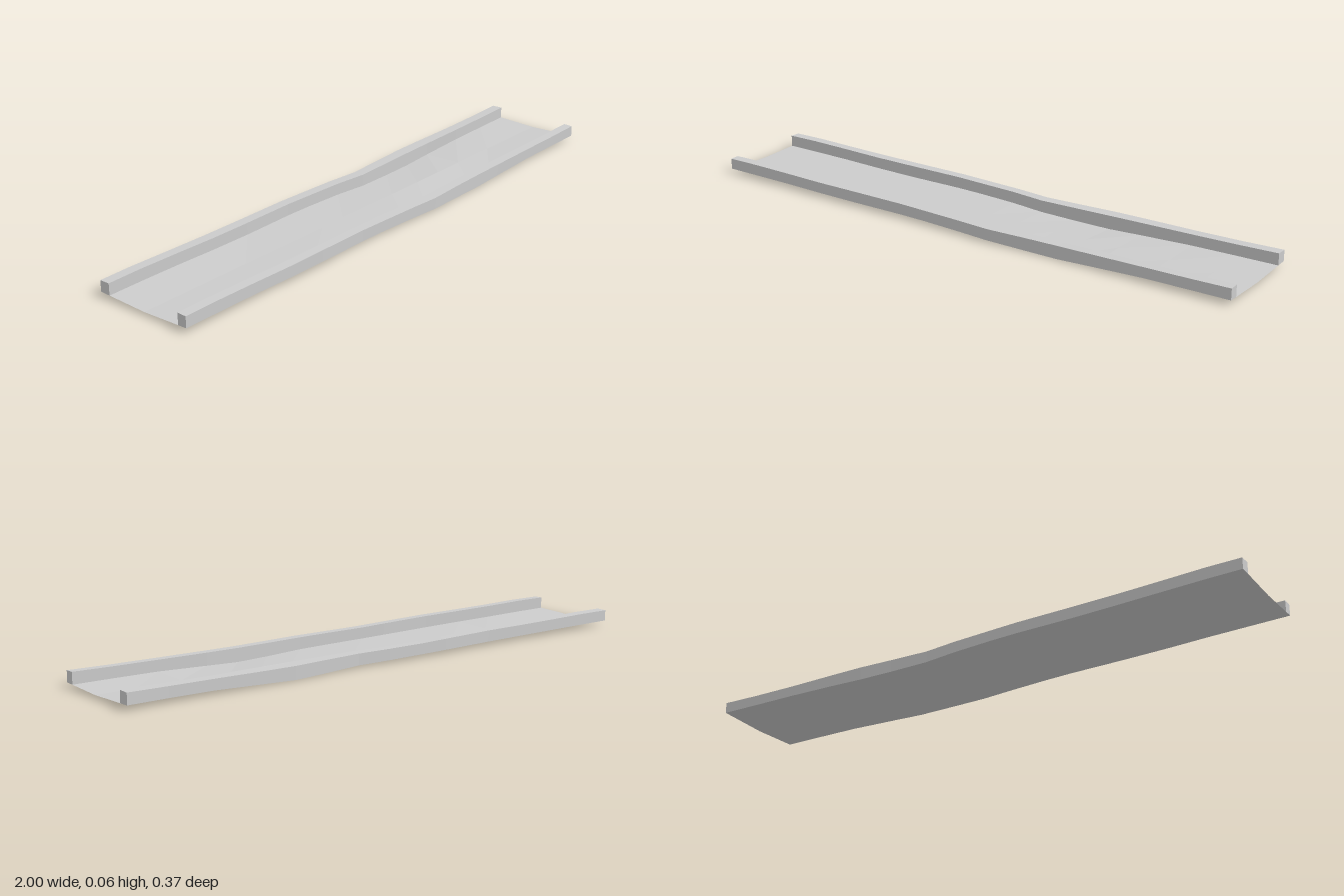
import * as THREE from 'three';

// One row per station along the length:
// x, front inner z, front outer z, back inner z, back outer z, floor edge y, kerb top y
const stations = [
  [-1.00, 0.140, 0.173, -0.150, -0.187, 0.017, 0.057],
  [-0.88, 0.140, 0.174, -0.150, -0.187, 0.017, 0.058],
  [-0.72, 0.140, 0.174, -0.149, -0.185, 0.016, 0.056],
  [-0.58, 0.143, 0.177, -0.145, -0.183, 0.015, 0.055],
  [-0.42, 0.143, 0.177, -0.144, -0.182, 0.014, 0.055],
  [-0.22, 0.140, 0.174, -0.149, -0.186, 0.013, 0.053],
  [-0.12, 0.140, 0.175, -0.148, -0.185, 0.012, 0.051],
  [0.02, 0.146, 0.180, -0.143, -0.180, 0.010, 0.050],
  [0.14, 0.149, 0.186, -0.131, -0.170, 0.008, 0.049],
  [0.28, 0.143, 0.179, -0.136, -0.178, 0.004, 0.049],
  [0.40, 0.140, 0.175, -0.141, -0.186, 0.002, 0.049],
  [0.52, 0.139, 0.174, -0.143, -0.186, 0.007, 0.050],
  [0.70, 0.140, 0.173, -0.144, -0.183, 0.014, 0.052],
  [0.86, 0.140, 0.173, -0.146, -0.184, 0.016, 0.054],
  [1.00, 0.140, 0.173, -0.148, -0.187, 0.017, 0.057],
];

const CENTRE_Y = 0.012;

// Faceted mesh from a list of quads, each a list of four [x, y, z] corners
function quadMesh(name, quads, side = THREE.FrontSide) {
  const position = [];
  for (const [a, b, c, d] of quads) position.push(...a, ...b, ...c, ...a, ...c, ...d);
  const geometry = new THREE.BufferGeometry();
  geometry.setAttribute('position', new THREE.Float32BufferAttribute(position, 3));
  geometry.computeVertexNormals();
  const material = new THREE.MeshStandardMaterial({ color: 0xcccccc, flatShading: true, side });
  const mesh = new THREE.Mesh(geometry, material);
  mesh.name = name;
  return mesh;
}

// Quads joining neighbouring cross-sections
function loft(sections, closed) {
  const quads = [];
  for (let i = 0; i < sections.length - 1; i++) {
    const a = sections[i], b = sections[i + 1];
    const count = closed ? a.length : a.length - 1;
    for (let j = 0; j < count; j++) {
      const k = (j + 1) % a.length;
      quads.push([a[j], b[j], b[k], a[k]]);
    }
  }
  return quads;
}

// Four-sided raised edge with capped ends
function kerb(name, innerColumn, front) {
  const sections = stations.map((s) => {
    const x = s[0], inner = s[innerColumn], outer = s[innerColumn + 1];
    const low = s[5], top = s[6];
    return [[x, low, inner], [x, low + 0.001, outer], [x, top - 0.001, outer], [x, top, inner]];
  });
  const quads = loft(sections, true);
  quads.push(sections[0], [...sections[sections.length - 1]].reverse());
  return quadMesh(name, front ? quads : quads.map((q) => [...q].reverse()));
}

export function createModel() {
  const model = new THREE.Group();
  model.name = 'channel';

  // Thin floor, bent along its centre line
  const floorSections = stations.map(([x, frontZ, , backZ, , y]) => [
    [x, y, frontZ], [x, CENTRE_Y, 0], [x, y, backZ],
  ]);
  model.add(quadMesh('floor', loft(floorSections, false), THREE.DoubleSide));

  // Raised edges
  model.add(kerb('frontKerb', 1, true));
  model.add(kerb('backKerb', 3, false));
  return model;
}
